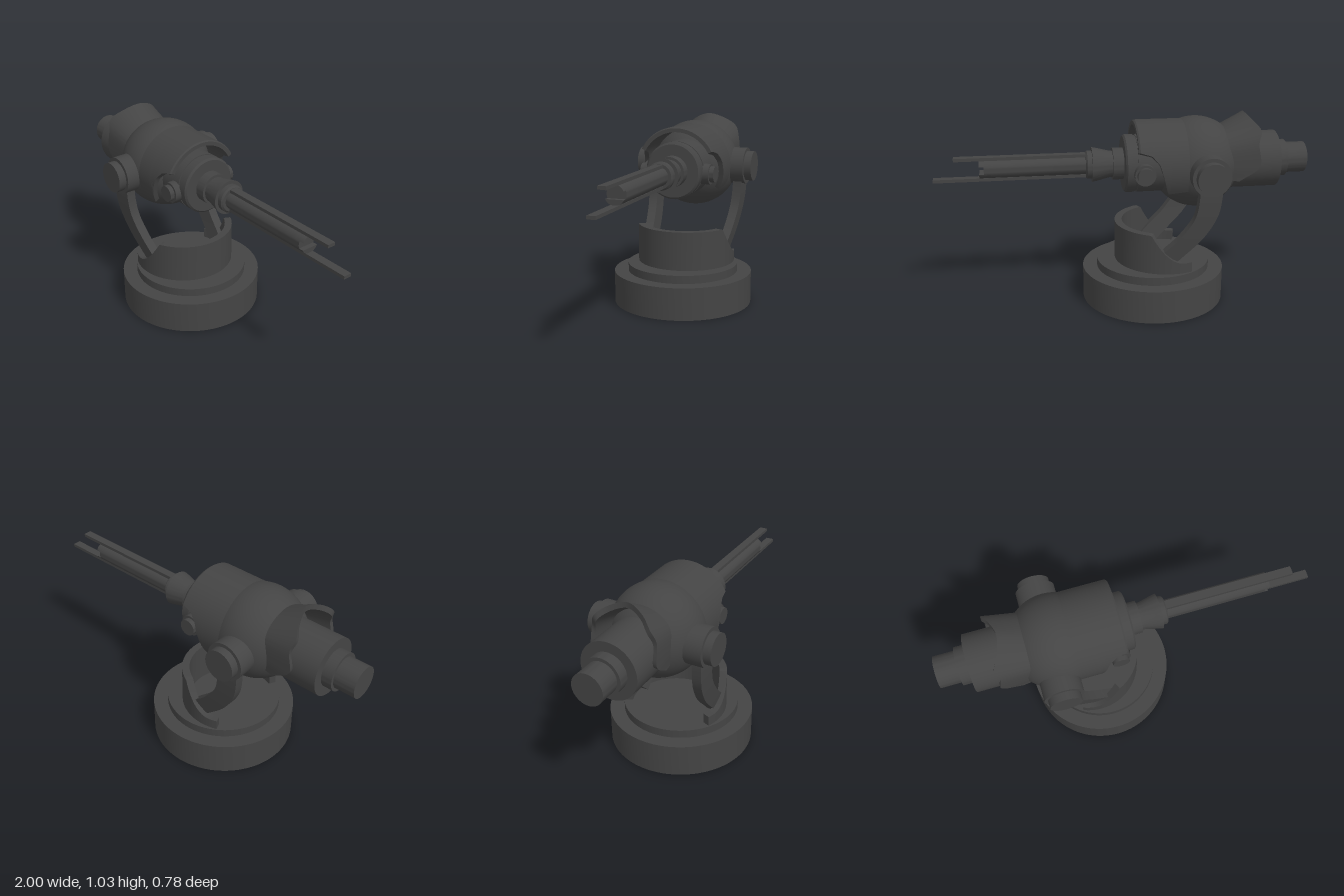
import * as THREE from 'three';
import { toCreasedNormals } from 'three/addons/utils/BufferGeometryUtils.js';

const AXIS = 0.768; // height of the gun axis
const V = (x, y, z) => new THREE.Vector3(x, y, z);
const solid = new THREE.MeshStandardMaterial({ color: 0x444444 });
const thin = new THREE.MeshStandardMaterial({ color: 0x444444, side: THREE.DoubleSide });

function part(parent, name, geometry, material = solid) {
  const mesh = new THREE.Mesh(geometry, material);
  mesh.name = name;
  parent.add(mesh);
  return mesh;
}

// Turned shape; profile holds [position along axis, radius]
function turned(profile, segments = 64) {
  const pts = profile.map(([p, r]) => new THREE.Vector2(r, p));
  return toCreasedNormals(new THREE.LatheGeometry(pts, segments), 0.6);
}
const alongX = (profile, segments) => turned(profile, segments).rotateZ(-Math.PI / 2).translate(0, AXIS, 0);

// Closed skin through a row of equal-sized cross-section loops, capped at both ends
function loft(sections) {
  const n = sections[0].length;
  const index = [];
  for (let i = 0; i < sections.length - 1; i++) {
    for (let j = 0; j < n; j++) {
      const k = (j + 1) % n, a = i * n, b = a + n;
      index.push(a + j, a + k, b + j, a + k, b + k, b + j);
    }
  }
  const end = (sections.length - 1) * n;
  for (let j = 0; j < n / 2 - 1; j++) {
    const k = n - 1 - j;
    index.push(j, k, j + 1, j + 1, k, k - 1);
    index.push(end + j, end + j + 1, end + k, end + j + 1, end + k - 1, end + k);
  }
  const g = new THREE.BufferGeometry();
  g.setAttribute('position', new THREE.Float32BufferAttribute(sections.flat().flatMap((v) => v.toArray()), 3));
  g.setIndex(index);
  return toCreasedNormals(g, 0.6);
}

function lerpTable(table, x) {
  let i = 0;
  while (i < table.length - 2 && x > table[i + 1][0]) i++;
  const [x0, y0] = table[i], [x1, y1] = table[i + 1];
  return THREE.MathUtils.lerp(y0, y1, THREE.MathUtils.clamp((x - x0) / (x1 - x0), 0, 1));
}

// Base discs and the curved wall with scooped ends
function buildBase() {
  const g = new THREE.Group();
  g.name = 'base';
  part(g, 'baseDisc', turned([[0, 0], [0, 0.39], [0.18, 0.39], [0.18, 0]], 96)).position.x = -0.167;
  part(g, 'turntable', turned([[0.17, 0], [0.17, 0.311], [0.225, 0.311], [0.225, 0]], 96)).position.x = -0.167;

  const sections = [];
  const limit = THREE.MathUtils.degToRad(112.5);
  for (let i = 0; i <= 72; i++) {
    const a = -limit + (2 * limit * i) / 72;
    const at = (r, y) => V(-0.23 + r * Math.cos(a), y, r * Math.sin(a));
    const t = THREE.MathUtils.clamp((-0.23 + 0.275 * Math.cos(a) + 0.3) / 0.185, 0, 1);
    const top = 0.28 + 0.16 * t ** 2.1;
    sections.push([at(0.275, 0.22), at(0.275, top), at(0.235, top), at(0.235, 0.22)]);
  }
  part(g, 'cradleWall', loft(sections), thin);
  return g;
}

// Curved support arm, leaning in towards the base; s is the side
function armGeometry(s) {
  const rear = new THREE.CatmullRomCurve3([V(-0.48, 0.72, 0), V(-0.478, 0.64, 0), V(-0.46, 0.54, 0), V(-0.39, 0.417, 0), V(-0.27, 0.294, 0), V(-0.21, 0.235, 0)]);
  const front = new THREE.CatmullRomCurve3([V(-0.36, 0.72, 0), V(-0.36, 0.64, 0), V(-0.34, 0.53, 0), V(-0.262, 0.417, 0), V(-0.18, 0.337, 0), V(-0.13, 0.285, 0)]);
  const sections = [];
  for (let i = 0; i <= 24; i++) {
    const a = rear.getPoint(i / 24), b = front.getPoint(i / 24);
    const outer = (p) => 0.285 - 0.045 * Math.max(0, (0.66 - p.y) / 0.4) ** 1.5;
    const at = (p, d) => V(p.x, p.y, s * (outer(p) - d));
    sections.push([at(a, 0), at(b, 0), at(b, 0.05), at(a, 0.05)]);
  }
  return loft(sections);
}

// Rounded cover over the front half of the body, cut away around the small pivots
function coverGeometry() {
  const edge = [[-0.32, 118], [-0.21, 122], [-0.185, 98], [-0.16, 78], [-0.12, 67], [-0.055, 62]];
  const sections = [];
  for (let i = 0; i <= 32; i++) {
    const x = -0.32 + (0.265 * i) / 32;
    const limit = THREE.MathUtils.degToRad(lerpTable(edge, x));
    const r = 0.232 - (i === 32 ? 0.006 : 0);
    const arc = (radius) => Array.from({ length: 49 }, (_, j) => {
      const a = limit * (j / 24 - 1);
      return V(x, AXIS + radius * Math.cos(a), radius * Math.sin(a));
    });
    sections.push([...arc(r), ...arc(0.205).reverse()]);
  }
  return loft(sections);
}

// Flared rear hood, open towards the back
function hoodGeometry() {
  const mirror = (pts) => [...pts.slice(1).reverse().map((p) => V(p.x, p.y, -p.z)), ...pts];
  const rim = new THREE.CatmullRomCurve3(mirror([V(-0.65, 1.033, 0), V(-0.675, 1.005, 0.09), V(-0.71, 0.957, 0.15), V(-0.695, 0.89, 0.174), V(-0.705, 0.77, 0.177), V(-0.6, 0.69, 0.165)]));
  const root = new THREE.CatmullRomCurve3(mirror([V(-0.5, 0.945, 0), V(-0.5, 0.932, 0.08), V(-0.5, 0.9, 0.13), V(-0.5, 0.86, 0.157), V(-0.5, 0.77, 0.165), V(-0.5, 0.7, 0.155)]));
  const inset = (p) => V(p.x, AXIS + (p.y - AXIS) * 0.89, p.z * 0.89);
  const sections = [];
  for (let i = 0; i <= 60; i++) {
    const a = root.getPoint(i / 60), b = rim.getPoint(i / 60);
    sections.push([a, b, inset(b), inset(a)]);
  }
  return loft(sections);
}

// Barrel core, forked tip and the two long rails
function buildBarrel() {
  const g = new THREE.Group();
  g.name = 'barrel';
  part(g, 'barrelCore', alongX([[0.18, 0], [0.18, 0.05], [0.735, 0.05], [0.735, 0]], 32));
  for (const s of [1, -1]) {
    const shape = new THREE.Shape();
    const a = Math.asin(0.4);
    shape.absarc(0, 0, 0.05, a, Math.PI - a, false);
    const tip = new THREE.ExtrudeGeometry(shape, { depth: 0.06, bevelEnabled: false, curveSegments: 16 });
    tip.rotateY(Math.PI / 2);
    if (s < 0) tip.rotateX(Math.PI);
    part(g, 'barrelTip', tip).position.set(0.7, AXIS, 0);
    const length = s > 0 ? 0.71 : 0.82;
    part(g, s > 0 ? 'upperRail' : 'lowerRail', new THREE.BoxGeometry(length, 0.017, 0.044))
      .position.set(0.18 + length / 2, AXIS + s * 0.055, 0);
  }
  return g;
}

export function createModel() {
  const model = new THREE.Group();
  model.name = 'turret';
  model.add(buildBase());

  const gun = new THREE.Group();
  gun.name = 'gun';
  model.add(gun);

  part(gun, 'body', new THREE.SphereGeometry(0.244, 64, 40)).position.set(-0.39, AXIS, 0);
  part(gun, 'rearHousing', alongX([[-1, 0], [-1, 0.083], [-0.888, 0.083], [-0.888, 0.1], [-0.832, 0.1], [-0.832, 0.152], [-0.45, 0.152]]));
  part(gun, 'frontHousing', alongX([[-0.3, 0.155], [-0.062, 0.155], [-0.062, 0.15], [-0.05, 0.15], [-0.05, 0.155], [-0.006, 0.155], [0.003, 0.145], [0.003, 0.085], [0.06, 0.085], [0.06, 0]]));
  part(gun, 'muzzleCollar', alongX([[0.05, 0.07], [0.08, 0.072], [0.14, 0.087], [0.17, 0.093], [0.17, 0.075], [0.195, 0.075], [0.203, 0.066], [0.203, 0]]));
  part(gun, 'frontCover', coverGeometry(), thin);
  part(gun, 'rearHood', hoodGeometry(), thin);
  gun.add(buildBarrel());

  // Trunnions, small pivots and arms on both sides
  for (const s of [1, -1]) {
    const side = s > 0 ? 'front' : 'back';
    part(model, side + 'Arm', armGeometry(s), thin);
    const trunnion = part(gun, side + 'Trunnion', turned([[0.12, 0.103], [0.303, 0.103], [0.303, 0.084], [0.345, 0.084], [0.345, 0]], 48));
    trunnion.position.set(-0.417, 0.757, 0);
    const pivot = part(gun, side + 'Pivot', turned([[0.08, 0.056], [0.187, 0.056], [0.187, 0.044], [0.212, 0.044], [0.212, 0]], 32));
    pivot.position.set(-0.093, 0.748, 0);
    trunnion.rotation.x = pivot.rotation.x = (s * Math.PI) / 2;
  }
  return model;
}
